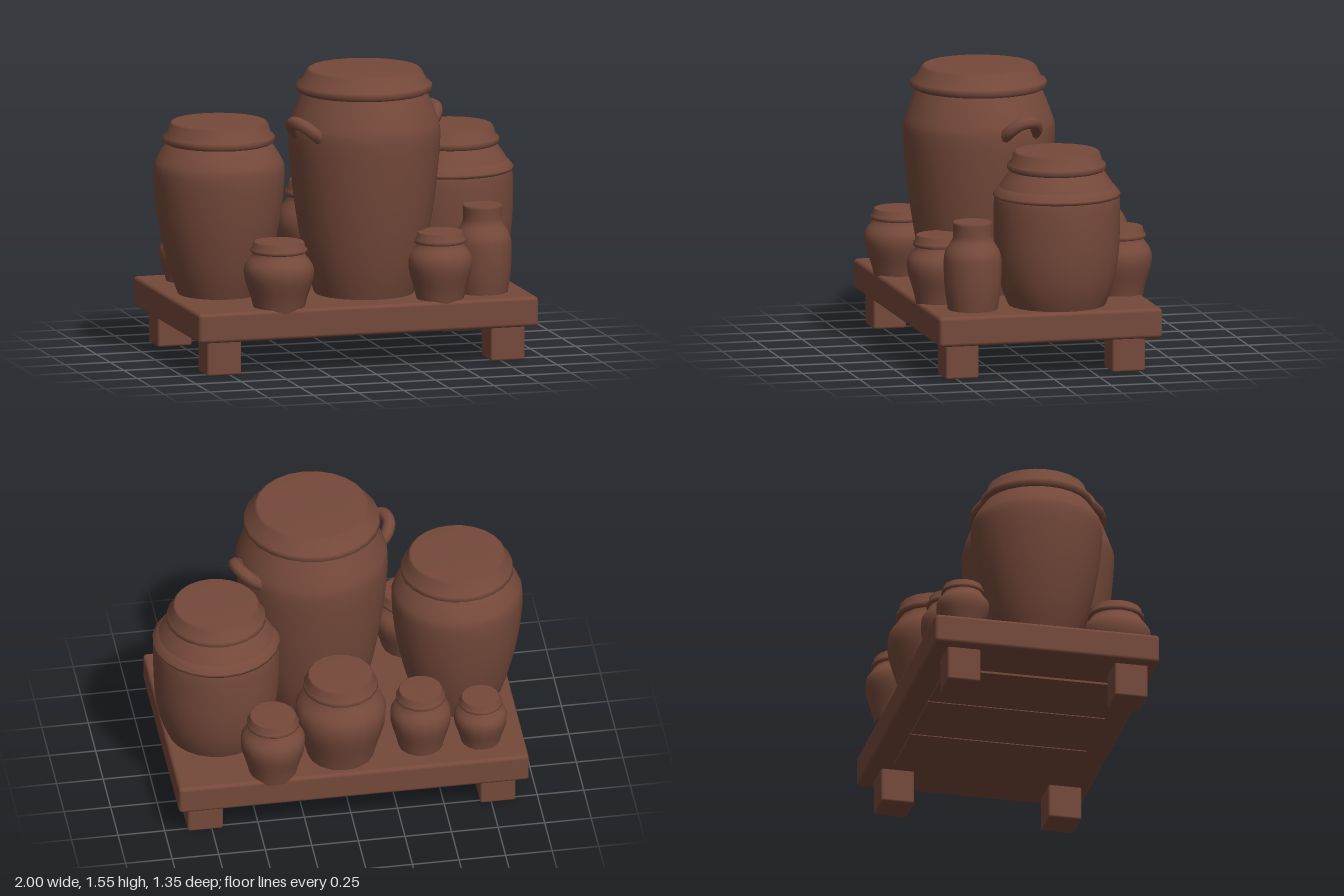
import * as THREE from 'three';
import { RoundedBoxGeometry } from 'three/addons/geometries/RoundedBoxGeometry.js';

export function createModel() {
  const model = new THREE.Group();
  model.name = 'jarsOnStand';
  const clay = new THREE.MeshStandardMaterial({ color: 0x75493a });
  clay.name = 'brown clay';

  const add = (parent, name, geometry, x = 0, y = 0, z = 0) => {
    const mesh = new THREE.Mesh(geometry, clay);
    mesh.name = name;
    mesh.position.set(x, y, z);
    parent.add(mesh);
    return mesh;
  };
  const lathe = (points, segments) =>
    new THREE.LatheGeometry(points.map(([r, y]) => new THREE.Vector2(r, y)), segments);

  // Stand: slab, underside boards and four square legs
  add(model, 'slab', new RoundedBoxGeometry(1.88, 0.16, 1.22, 2, 0.02), 0, 0.27, 0);
  for (const x of [-0.42, 0, 0.42]) {
    add(model, 'undersideBoard', new THREE.BoxGeometry(0.41, 0.03, 0.96), x, 0.193, 0);
  }
  for (const x of [-0.785, 0.785]) {
    for (const z of [-0.44, 0.47]) {
      add(model, 'leg', new RoundedBoxGeometry(0.19, 0.22, 0.18, 1, 0.012), x, 0.115, z);
    }
  }

  // A jar is a smooth turned body with an overhanging flat lid.
  // body: [radius, y] from foot to neck; lid: flange radius, top radius, flange y, top y
  function jar(name, x, z, segments, body, lid) {
    const group = new THREE.Group();
    group.name = name;
    group.position.set(x, 0, z);
    model.add(group);
    // spline the profile for a soft belly
    const curve = new THREE.SplineCurve(body.map(([r, y]) => new THREE.Vector2(r, y)));
    const profile = curve.getPoints(body.length * 3).map((p) => [p.x, p.y]);
    add(group, 'body', lathe(profile, segments));
    if (lid) {
      const [flange, top, y0, y1] = lid;
      const h = y1 - y0;
      add(group, 'lid', lathe([
        [0, y0], [flange * 0.94, y0], [flange, y0 + h * 0.12], [flange * 0.985, y0 + h * 0.35],
        [flange * 0.92, y0 + h * 0.45], [top * 1.02, y1 - h * 0.08], [top * 0.97, y1], [0, y1],
      ], segments));
    }
    return group;
  }

  // Three large storage jars
  const tall = jar('tallJar', 0.1, 0.185, 24,
    [[0.26, 0.33], [0.31, 0.5], [0.35, 0.7], [0.385, 0.95], [0.405, 1.2], [0.385, 1.3], [0.325, 1.45]],
    [0.365, 0.3, 1.43, 1.555]);
  jar('leftJar', -0.65, 0.005, 24,
    [[0.21, 0.33], [0.27, 0.5], [0.325, 0.75], [0.35, 1.0], [0.325, 1.09], [0.265, 1.18]],
    [0.3, 0.255, 1.16, 1.275]);
  const right = jar('rightJar', 0.66, -0.1, 24,
    [[0.25, 0.33], [0.3, 0.46], [0.33, 0.64], [0.335, 0.88], [0.315, 0.97], [0.235, 1.09]],
    [0.265, 0.225, 1.07, 1.175]);
  add(right, 'shoulderRidge', lathe(
    [[0.3, 0.92], [0.338, 0.935], [0.338, 0.95], [0.31, 0.985], [0.28, 1.0]], 24));

  // Two upturned loop handles on the tall jar's shoulder
  for (const side of [0, Math.PI]) {
    const handle = new THREE.Group();
    handle.name = 'handle';
    handle.rotation.y = side + 0.37;
    tall.add(handle);
    const path = new THREE.CatmullRomCurve3([
      [0.35, 1.21, -0.095], [0.41, 1.26, -0.085], [0.45, 1.3, -0.04],
      [0.45, 1.3, 0.04], [0.41, 1.26, 0.085], [0.35, 1.21, 0.095],
    ].map((p) => new THREE.Vector3(...p)));
    add(handle, 'loop', new THREE.TubeGeometry(path, 14, 0.035, 8));
  }

  // Small lidded pots: x, z, belly radius, height above the slab
  const pots = [
    ['frontLeftPot', -0.46, 0.48, 0.185, 0.35],
    ['frontRightPot', 0.43, 0.485, 0.17, 0.36],
    ['backLeftPot', -0.71, -0.41, 0.14, 0.28],
    ['backMiddlePot', -0.39, -0.4, 0.16, 0.36],
    ['backLargePot', 0.04, -0.4, 0.24, 0.51],
    ['backRightPot', 0.42, -0.505, 0.17, 0.36],
  ];
  for (const [name, x, z, r, h] of pots) {
    const at = (k) => 0.35 + h * k;
    jar(name, x, z, 16,
      [[r * 0.72, 0.33], [r * 0.82, at(0.15)], [r, at(0.45)], [r * 0.98, at(0.64)],
        [r * 0.76, at(0.8)], [r * 0.74, at(0.88)]],
      [r * 0.83, r * 0.72, at(0.83), at(1)]);
  }

  // Narrow-necked bottle
  const bottle = jar('bottle', 0.7, 0.37, 16,
    [[0.13, 0.33], [0.15, 0.46], [0.155, 0.6], [0.145, 0.66], [0.11, 0.72], [0.104, 0.76], [0.106, 0.81]]);
  add(bottle, 'mouth', lathe([[0.105, 0.8], [0.108, 0.815], [0.1, 0.82], [0, 0.815]], 16));

  return model;
}
